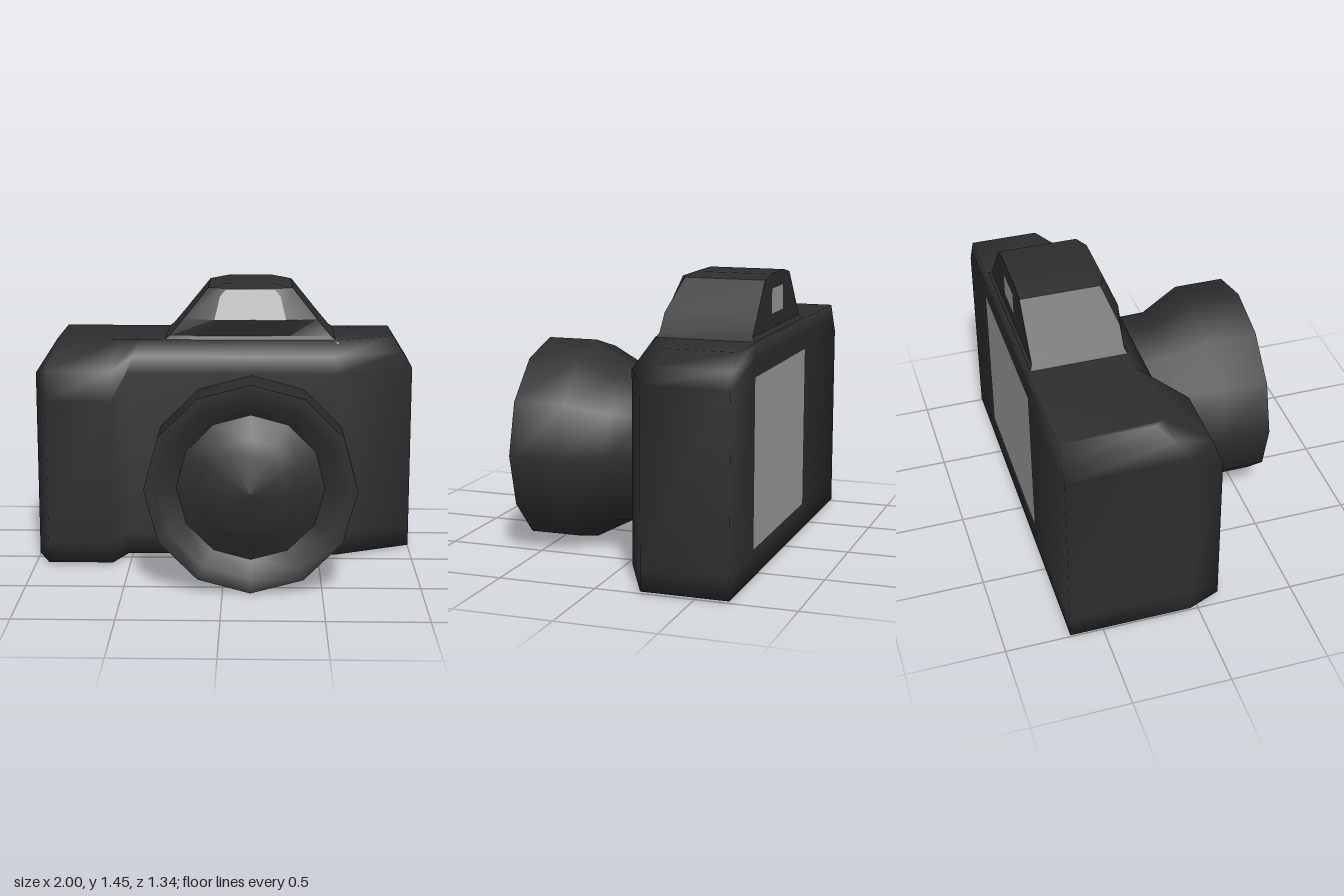
import * as THREE from 'three';
import { toCreasedNormals } from 'three/addons/utils/BufferGeometryUtils.js';

const black = new THREE.MeshStandardMaterial({ name: 'black casing', color: 0x2e2e2e });
const grey = new THREE.MeshStandardMaterial({ name: 'grey glass', color: 0xa0a0a0 });

// Closed skin over stacked rings of [x, y, z], each running clockwise seen from above
function loft(rings) {
  const n = rings[0].length;
  const points = rings.flat();
  const index = [];
  for (let r = 0; r < rings.length - 1; r++) {
    for (let i = 0; i < n; i++) {
      const j = (i + 1) % n;
      const a0 = r * n + i, a1 = r * n + j, b0 = a0 + n, b1 = a1 + n;
      index.push(a1, a0, b0, a1, b0, b1);
    }
  }
  // Caps, turned to face down and up
  const cap = (r, up) => {
    const flat = rings[r].map(p => new THREE.Vector2(p[0], p[2]));
    for (const [a, b, c] of THREE.ShapeUtils.triangulateShape(flat, [])) {
      const area = (flat[b].x - flat[a].x) * (flat[c].y - flat[a].y)
        - (flat[b].y - flat[a].y) * (flat[c].x - flat[a].x);
      const facesUp = area < 0;
      if (facesUp === up) index.push(r * n + a, r * n + b, r * n + c);
      else index.push(r * n + a, r * n + c, r * n + b);
    }
  };
  cap(0, false);
  cap(rings.length - 1, true);
  const g = new THREE.BufferGeometry();
  g.setAttribute('position', new THREE.Float32BufferAttribute(points.flat(), 3));
  g.setIndex(index);
  g.computeVertexNormals();
  return g;
}

// Flat plate from an outline of [x, y]
function plate(outline) {
  return new THREE.ShapeGeometry(new THREE.Shape(outline.map(p => new THREE.Vector2(...p))));
}

function part(name, geometry, material, x = 0, y = 0, z = 0) {
  const m = new THREE.Mesh(geometry, material);
  m.name = name;
  m.position.set(x, y, z);
  return m;
}

// Body outline: wall x, z, then top edge x, z; grip points carry a lower shoulder
function bodyGeometry() {
  const outline = [
    [-1, -0.67, -0.9, -0.67], [-0.32, -0.67, -0.32, -0.67],
    [0.62, -0.67, 0.62, -0.67], [1, -0.67, 0.9, -0.67],
    [1, -0.23, 0.9, -0.32], [0.6, -0.04, 0.56, -0.15],
    [-0.52, -0.04, -0.46, -0.15], [-0.59, 0.13, -0.57, -0.15, true],
    [-0.93, 0.13, -0.87, -0.15, true], [-1, -0.04, -0.9, -0.2],
  ];
  return loft([
    outline.map(([x, z]) => [x, 0.01, z]),
    outline.map(([x, z]) => [x, 0.12, z]),
    outline.map(([x, z, , , grip]) => [x, grip ? 0.88 : 1.0, z]),
    outline.map(([x, z, tx, tz, grip]) =>
      grip ? [x, 1.03, 0.07] : [(x + tx) / 2, 1.08, (z + tz) / 2]),
    outline.map(([, , tx, tz]) => [tx, 1.16, tz]),
  ]);
}

// Viewfinder hump: y, half width, half width of the front middle, back z, front z, corner z
function humpGeometry() {
  const sections = [
    [1.14, 0.48, 0.22, -0.67, -0.14, -0.15],
    [1.18, 0.43, 0.21, -0.64, -0.16, -0.17],
    [1.27, 0.355, 0.19, -0.64, -0.13, -0.17],
    [1.43, 0.225, 0.15, -0.64, -0.194, -0.23],
    [1.45, 0.12, 0.1, -0.64, -0.25, -0.26],
  ];
  const rings = sections.map(([y, w, m, back, front, corner]) => [
    [-w, y, back], [w, y, back], [w, y, corner],
    [m, y, front], [-m, y, front], [-w, y, corner],
  ]);
  return toCreasedNormals(loft(rings), 0.6);
}

// Twelve-sided turned part along z, from points of [radius, z]
function turned(points, crease) {
  const g = new THREE.LatheGeometry(points.map(p => new THREE.Vector2(...p)), 12);
  g.rotateX(Math.PI / 2);
  return crease ? toCreasedNormals(g, crease) : g;
}

export function createModel() {
  const camera = new THREE.Group();
  camera.name = 'camera';
  camera.add(part('body', bodyGeometry(), black));
  camera.add(part('viewfinderHump', humpGeometry(), black, 0.13));

  // Lens
  const lens = new THREE.Group();
  lens.name = 'lens';
  lens.position.set(0.14, 0.53, 0);
  lens.add(part('lensBarrel', turned([[0.42, -0.1], [0.425, 0.13], [0.53, 0.33], [0.53, 0.595]]), black));
  lens.add(part('lensRim', turned([[0.53, 0.595], [0.46, 0.595], [0.37, 0.54]]), black));
  lens.add(part('lensGlass', turned([[0.37, 0.54], [0.26, 0.595], [0.185, 0.635], [0, 0.667]]), black));
  camera.add(lens);

  // Front window lies on the sloping face of the hump
  const front = plate([[-0.19, 0], [0.19, 0], [0.16, 0.13], [0.13, 0.165], [-0.13, 0.165], [-0.16, 0.13]]);
  front.rotateX(-Math.atan2(0.064, 0.16));
  camera.add(part('frontWindow', front, grey, 0.13, 1.27, -0.126));

  // Rear eyepiece and screen face backwards
  const rear = (name, w, h, x, y, z) => {
    const m = part(name, new THREE.PlaneGeometry(w, h), grey, x, y, z);
    m.rotation.y = Math.PI;
    camera.add(m);
  };
  rear('eyepiece', 0.21, 0.13, 0.135, 1.315, -0.644);
  rear('rearScreen', 0.94, 0.85, 0.15, 0.575, -0.673);

  return camera;
}
